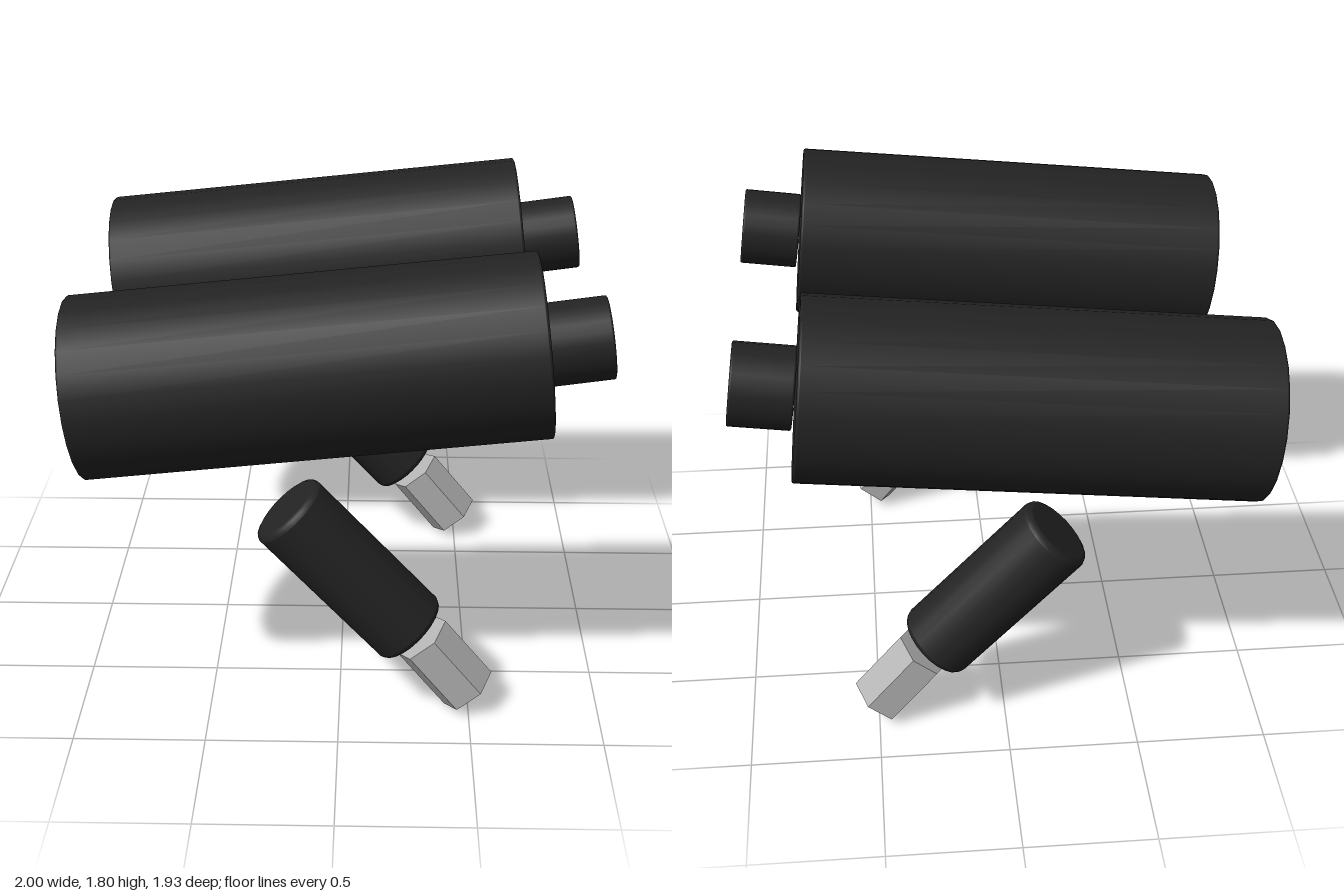
import * as THREE from 'three';

const black = new THREE.MeshStandardMaterial({ color: 0x232323 });
black.name = 'matte black';
const silver = new THREE.MeshStandardMaterial({ color: 0xb6b6b6 });
silver.name = 'silver';

// Solid cylinder along y with a small bevel; close support points keep its edges crisp
function bevelledCylinder(radius, length, bevel, segments) {
  const h = length / 2, e = 0.002;
  const half = [
    [radius, h - bevel - e],
    [radius, h - bevel],
    [radius - bevel * 0.3, h - bevel * 0.3],
    [radius - bevel, h],
    [radius - bevel - e, h],
    [0, h],
  ];
  const lower = half.map(([r, y]) => [r, -y]).reverse();
  const points = [...lower, ...half].map(([r, y]) => new THREE.Vector2(r, y));
  return new THREE.LatheGeometry(points, segments);
}

// Places a part with its y axis leaning to the given angle above +x
function part(name, geometry, material, x, y, z, degrees) {
  const mesh = new THREE.Mesh(geometry, material);
  mesh.name = name;
  mesh.position.set(x, y, z);
  mesh.rotation.z = THREE.MathUtils.degToRad(degrees - 90);
  return mesh;
}

export function createModel() {
  const model = new THREE.Group();
  model.name = 'pairedCylinders';

  const bodyGeometry = bevelledCylinder(0.341, 1.716, 0.008, 24);
  const outletGeometry = bevelledCylinder(0.153, 0.23, 0.006, 24);
  const gripGeometry = bevelledCylinder(0.155, 0.7, 0.022, 24);
  // Hexagonal bar with flats facing front and back
  const hexGeometry = new THREE.CylinderGeometry(0.116, 0.116, 0.29, 6, 1, false, Math.PI / 6).toNonIndexed();
  hexGeometry.computeVertexNormals();

  for (const side of [1, -1]) {
    const set = new THREE.Group();
    set.name = side > 0 ? 'frontSet' : 'backSet';
    set.add(
      part('mainCylinder', bodyGeometry, black, -0.11, 1.377, side * 0.622, 6.15),
      part('endStub', outletGeometry, black, 0.863, 1.484, side * 0.62, 8.1),
      part('lowerCylinder', gripGeometry, black, 0.037, 0.597, side * 0.73, -47.4),
      part('hexBar', hexGeometry, silver, 0.407, 0.191, side * 0.732, -51),
    );
    model.add(set);
  }
  return model;
}
